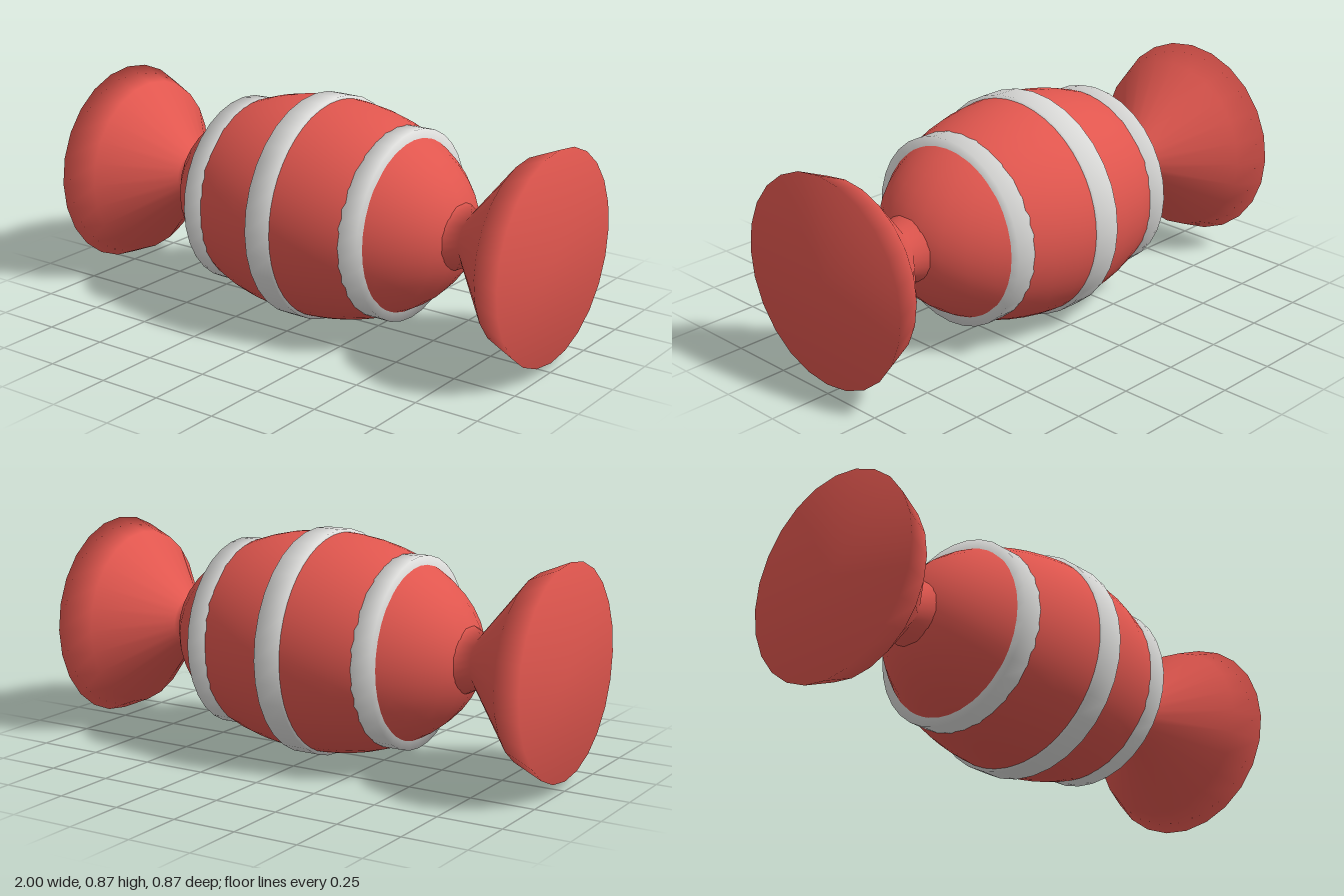
import * as THREE from 'three';

const AXIS_Y = 0.437; // height of the long axis

// Smooth solid of revolution about the x axis; points are [radius, x] with x rising
function turned(points, sides) {
  const profile = points.map(([r, x]) => new THREE.Vector2(r, x));
  return new THREE.LatheGeometry(profile, sides).rotateZ(-Math.PI / 2);
}

export function createModel() {
  const red = new THREE.MeshStandardMaterial({ color: 0xe0564e });
  red.name = 'red wrapper';
  const white = new THREE.MeshStandardMaterial({ color: 0xdcdcda });
  white.name = 'white stripe';

  const candy = new THREE.Group();
  candy.name = 'wrappedCandy';

  function add(name, geometry, material) {
    const mesh = new THREE.Mesh(geometry, material);
    mesh.name = name;
    mesh.position.y = AXIS_Y;
    candy.add(mesh);
    return mesh;
  }

  // Plump centre
  add('body', new THREE.SphereGeometry(1, 32, 24).scale(0.64, 0.424, 0.424), red);

  // Rings around the body
  const stripes = [
    ['rightStripe', -0.35, 0.366, 0.28],
    ['middleStripe', 0, 0.436, 0.38],
    ['leftStripe', 0.35, 0.366, 0.28],
  ];
  for (const [name, x, outer, inner] of stripes) {
    add(name, turned([
      [inner, x - 0.05], [outer, x - 0.05], [outer, x + 0.05], [inner, x + 0.05],
    ], 32), white);
  }

  // Flared twists with a pinched neck and a closed end
  const twist = turned([[0.13, 0.6], [0.1, 0.66], [0.35, 0.88], [0.4, 1], [0, 1]], 24);
  add('leftTwist', twist, red);
  add('rightTwist', twist, red).rotation.y = Math.PI;

  return candy;
}
